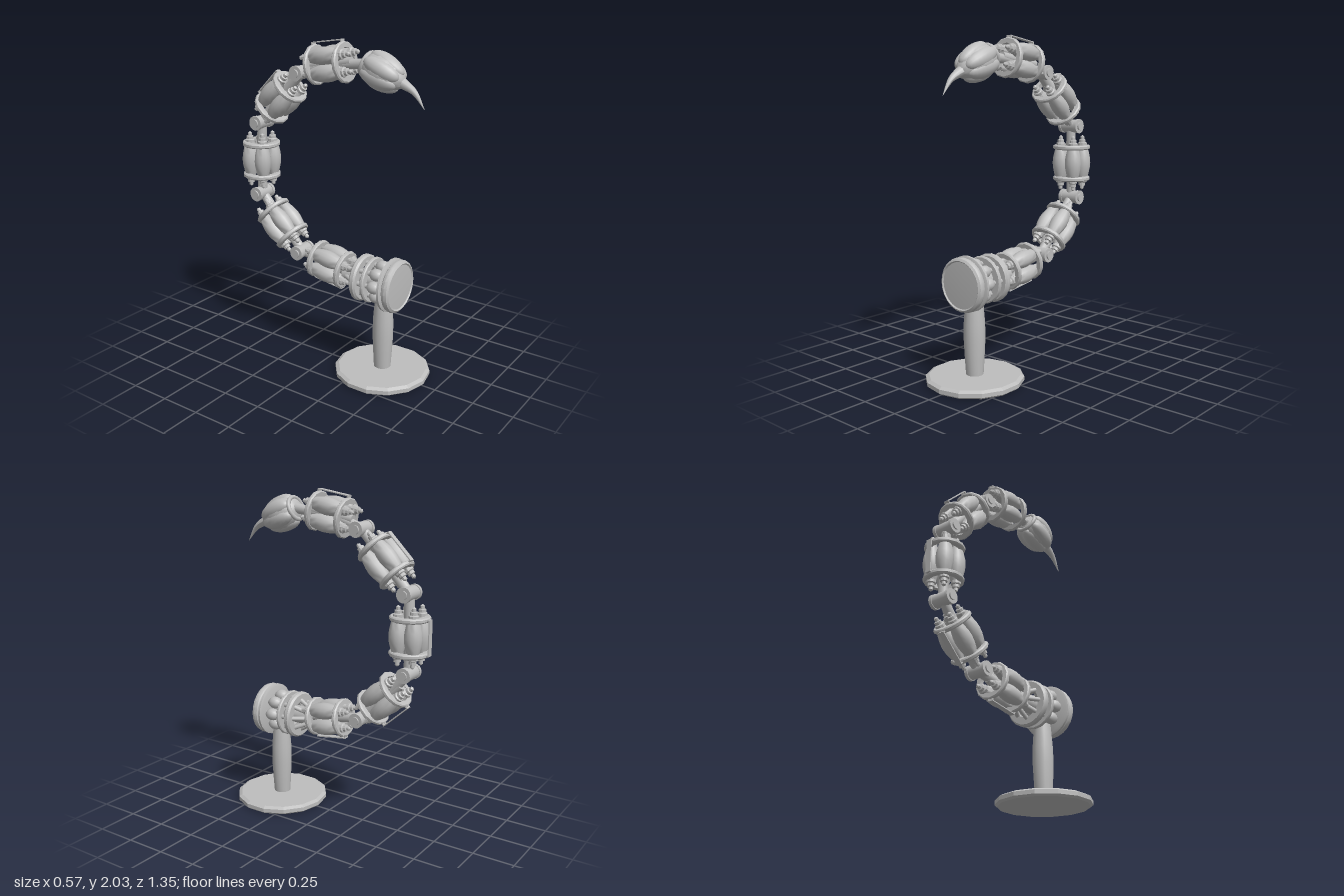
import * as THREE from 'three';
import { toCreasedNormals } from 'three/addons/utils/BufferGeometryUtils.js';

const metal = new THREE.MeshStandardMaterial({ color: 0xbdbdbd });
metal.name = 'grey metal';
const X = new THREE.Vector3(1, 0, 0), Y = new THREE.Vector3(0, 1, 0);
const V = (x, y, z) => new THREE.Vector3(x, y, z);

function add(parent, name, geo, x = 0, y = 0, z = 0) {
  const m = new THREE.Mesh(geo, metal);
  m.name = name;
  m.position.set(x, y, z);
  parent.add(m);
  return m;
}
function lathe(points, sides, crease = 0.6) {
  const g = new THREE.LatheGeometry(points.map(p => new THREE.Vector2(p[0], p[1])), sides);
  return toCreasedNormals(g, crease);
}
// flat band with rounded outer edge, around the y axis
const band = (inner, outer, h, sides) => lathe([
  [inner, -h / 2], [outer - h * 0.25, -h / 2], [outer, -h * 0.25], [outer, h * 0.25],
  [outer - h * 0.25, h / 2], [inner, h / 2], [inner, -h / 2]], sides, 0.7);

function rod(parent, name, a, b, r0, r1 = r0) {
  const m = add(parent, name, new THREE.CylinderGeometry(r1, r0, a.distanceTo(b), 12));
  m.position.copy(a).lerp(b, 0.5);
  m.quaternion.setFromUnitVectors(Y, b.clone().sub(a).normalize());
}
// round bar that shrinks along a curve
function taperedTube(points, r0, r1) {
  const curve = new THREE.CatmullRomCurve3(points), n = 16, sides = 10;
  const g = new THREE.TubeGeometry(curve, n, r0, sides);
  const p = g.attributes.position, v = V(0, 0, 0);
  for (let i = 0; i < p.count; i++) {
    const t = Math.floor(i / (sides + 1)) / n;
    const c = curve.getPointAt(t);
    v.fromBufferAttribute(p, i).sub(c).multiplyScalar(1 + (r1 / r0 - 1) * t).add(c);
    p.setXYZ(i, v.x, v.y, v.z);
  }
  g.computeVertexNormals();
  return g;
}

const ringGeo = band(0.085, 0.12, 0.028, 14);
const muscleGeo = lathe([[0, -0.112], [0.03, -0.11], [0.041, -0.075], [0.05, -0.035], [0.053, 0],
  [0.05, 0.035], [0.041, 0.075], [0.03, 0.11], [0, 0.112]], 14, 0.9);
const nubGeo = lathe([[0.03, 0.1], [0.03, 0.128], [0.022, 0.133], [0.022, 0.15], [0.013, 0.153],
  [0.013, 0.17], [0, 0.18]], 10);

// one tail segment: two rings, four muscle barrels with stepped ends, outer strap
function segment(z, y, deg) {
  const g = new THREE.Group();
  g.name = 'tailSegment';
  g.position.set(0, y, z);
  g.rotation.x = THREE.MathUtils.degToRad(deg - 90);
  add(g, 'spine', new THREE.CylinderGeometry(0.028, 0.028, 0.3, 12));
  for (const s of [-1, 1]) {
    add(g, 'ring', ringGeo, 0, s * 0.102, 0);
    add(g, 'strapTab', new THREE.BoxGeometry(0.036, 0.008, 0.025), 0, s * 0.102, -0.118);
    for (const t of [-1, 1]) {
      add(g, 'muscle', muscleGeo, s * 0.05, 0, t * 0.05);
      for (const e of [0, Math.PI])
        add(g, 'muscleEnd', nubGeo, s * 0.05, 0, t * 0.05).rotation.x = e;
    }
  }
  add(g, 'strap', new THREE.BoxGeometry(0.036, 0.21, 0.006), 0, 0, -0.129);
  return g;
}

// hinge with a barrel across x and stepped side caps
function joint(z, y) {
  const g = new THREE.Group();
  g.name = 'joint';
  g.position.set(0, y, z);
  const parts = [[0.042, 0.11, 'hinge'], [0.046, 0.02, 'hingeCap'], [0.026, 0.01, 'hingePin']];
  parts.forEach(([r, w, name], i) => {
    for (const s of i ? [-1, 1] : [0])
      add(g, name, new THREE.CylinderGeometry(r, r, w, 16), s * (i === 1 ? 0.06 : 0.074)).rotation.z = Math.PI / 2;
  });
  return g;
}

function stand() {
  const g = new THREE.Group();
  g.name = 'stand';
  g.position.z = 0.378;
  add(g, 'foot', lathe([[0, 0], [0.278, 0], [0.293, 0.012], [0.293, 0.036], [0.272, 0.048], [0, 0.048]], 14, 0.1));
  add(g, 'post', lathe([[0.052, 0.045], [0.058, 0.14], [0.064, 0.26], [0.063, 0.36], [0.056, 0.45],
    [0.048, 0.55], [0, 0.6]], 16));
  return g;
}

// round mount, local y points to the front
function mount() {
  const g = new THREE.Group();
  g.name = 'mount';
  g.position.set(0, 0.605, 0);
  g.rotation.x = Math.PI / 2;
  add(g, 'frontDisc', lathe([[0, 0.445], [0.145, 0.445], [0.158, 0.455], [0.163, 0.472], [0.158, 0.488],
    [0.145, 0.497], [0.138, 0.49], [0, 0.496]], 24), 0, 0, 0);
  add(g, 'backDisc', lathe([[0, 0.418], [0.15, 0.418], [0.165, 0.424], [0.165, 0.438], [0.15, 0.445], [0, 0.445]], 24));
  add(g, 'core', new THREE.CylinderGeometry(0.055, 0.055, 0.35, 14), 0, 0.28, 0);
  add(g, 'thinRing', band(0.095, 0.142, 0.024, 20), 0, 0.302, 0);
  add(g, 'thickRing', band(0.09, 0.146, 0.042, 20), 0, 0.234, 0);
  for (let i = 0; i < 8; i++) {
    const a = i * Math.PI / 4, c = Math.cos(a), s = Math.sin(a);
    add(g, 'ball', new THREE.SphereGeometry(0.045, 14, 10), c * 0.1, 0.37, s * 0.1).scale.set(0.85, 1.05, 0.85);
    rod(g, 'ringPost', V(c * 0.1, 0.22, s * 0.1), V(c * 0.1, 0.42, s * 0.1), 0.015);
    rod(g, 'strut', V(c * 0.105, 0.235, s * 0.105), V(c * 0.05, 0.14, s * 0.05), 0.014);
  }
  return g;
}

// bulb with overlapping petals, local y points to the tip
function bulb() {
  const g = new THREE.Group();
  g.name = 'bulb';
  g.position.set(0, 1.862, 0.345);
  g.quaternion.setFromUnitVectors(Y, V(0, -0.36, 0.93).normalize());
  add(g, 'core', lathe([[0, -0.125], [0.055, -0.12], [0.085, -0.085], [0.1, -0.03], [0.098, 0.02],
    [0.08, 0.075], [0.05, 0.115], [0.025, 0.14], [0, 0.145]], 20, 1));
  add(g, 'collar', new THREE.TorusGeometry(0.068, 0.013, 8, 18), 0, -0.112, 0).rotation.x = Math.PI / 2;
  for (let i = 0; i < 6; i++) {
    const pivot = new THREE.Group();
    pivot.name = 'petal';
    pivot.rotation.y = (i + 0.5) * Math.PI / 3;
    g.add(pivot);
    const m = add(pivot, 'petalShell', new THREE.SphereGeometry(1, 16, 12), 0.058, 0.005, 0);
    m.scale.set(0.05, 0.115, 0.054);
    m.rotation.z = 0.12;
  }
  return g;
}

export function createModel() {
  const model = new THREE.Group();
  model.name = 'tailOnStand';
  model.add(stand(), mount());

  // segments and joints as z, y (and lean) from the mount to the tip
  const segs = [[-0.005, 0.635, 8], [-0.39, 0.825, 42], [-0.55, 1.23, 90], [-0.386, 1.64, 135], [-0.015, 1.88, 171]];
  const joints = [[-0.233, 0.672], [-0.55, 1.005], [-0.54, 1.47], [-0.222, 1.81]];
  segs.forEach(s => model.add(segment(...s)));
  joints.forEach(([z, y], i) => {
    model.add(joint(z, y));
    for (const [sz, sy] of [segs[i], segs[i + 1]])
      rod(model, 'link', V(0, sy, sz), V(0, y, z), 0.03);
  });
  rod(model, 'rootLink', V(0, 0.605, 0.25), V(0, 0.635, 0), 0.045, 0.03);
  rod(model, 'neck', V(0, 1.88, 0.05), V(0, 1.905, 0.26), 0.026, 0.032);

  model.add(bulb());
  add(model, 'stinger', taperedTube([V(0, 1.835, 0.41), V(0, 1.812, 0.475), V(0, 1.772, 0.545), V(0, 1.685, 0.61)], 0.04, 0.001));
  return model;
}
